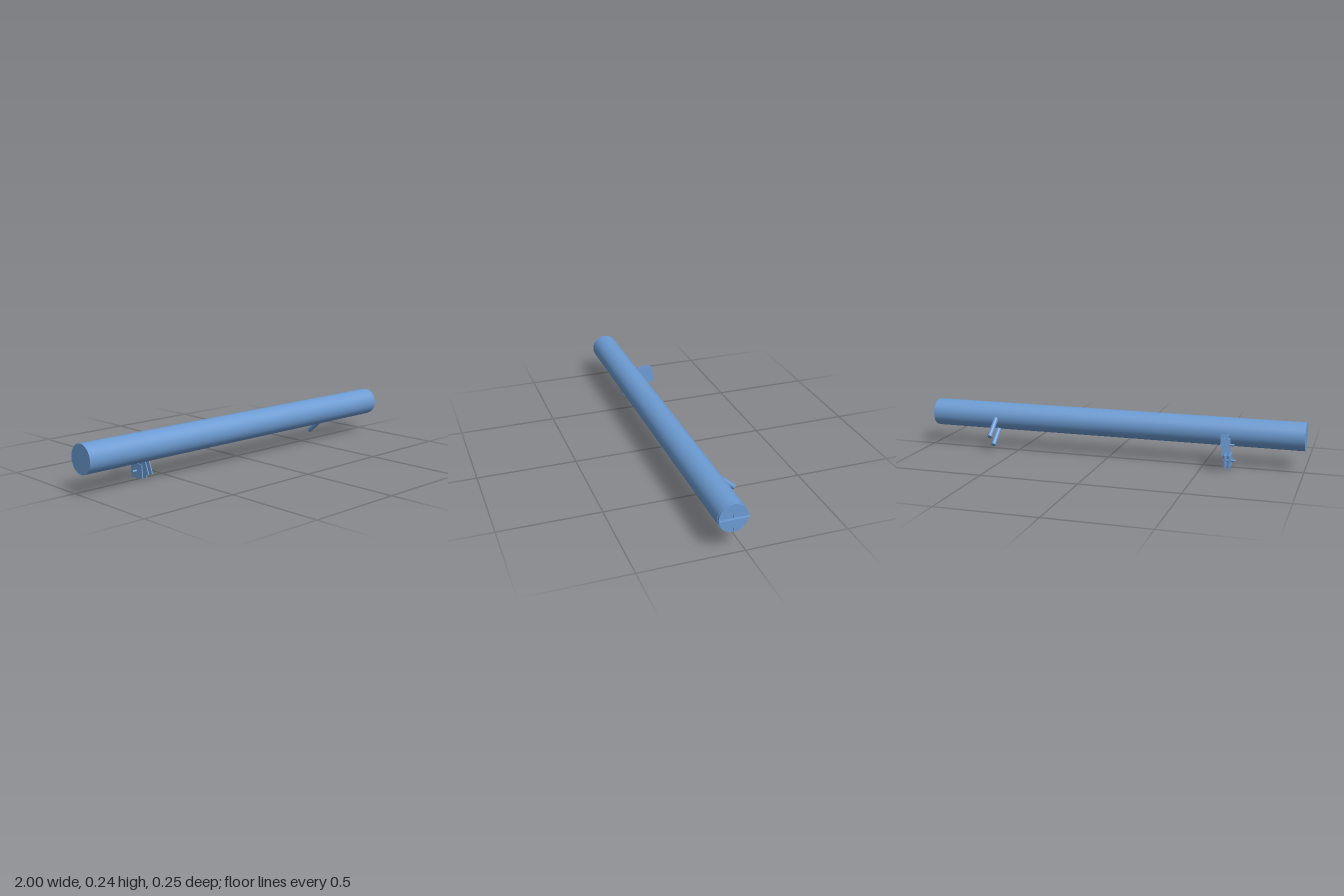
import * as THREE from 'three';

export function createModel() {
  const model = new THREE.Group();
  const blue = new THREE.MeshStandardMaterial({ color: 0x6c9bd2 });
  blue.name = 'steel blue';

  const add = (name, geometry, x, y, z, parent = model) => {
    const mesh = new THREE.Mesh(geometry, blue);
    mesh.name = name;
    mesh.position.set(x, y, z);
    parent.add(mesh);
    return mesh;
  };
  // Cylinder lying along x between two positions
  const rod = (name, radius, x0, x1, y, z, sides = 48, parent = model) => {
    const g = new THREE.CylinderGeometry(radius, radius, x1 - x0, sides).rotateZ(-Math.PI / 2);
    return add(name, g, (x0 + x1) / 2, y, z, parent);
  };

  // Long tube with a slightly smaller end cap
  const cy = 0.17, cz = 0.055, radius = 0.0715;
  rod('tube', radius, -1, 0.975, cy, cz);
  rod('endCap', 0.0695, 0.97, 0.987, cy, cz);

  // Cross of thin blades on the end cap
  add('horizontalBlade', new THREE.BoxGeometry(0.03, 0.003, radius * 2), 0.985, cy, cz);
  add('verticalBlade', new THREE.BoxGeometry(0.013, radius * 2 - 0.004, 0.003), 0.982, cy, cz);
  add('bladeTab', new THREE.BoxGeometry(0.012, 0.006, 0.016), 0.988, cy, 0.1);

  // Two parallel pegs slanting down and back
  const slant = new THREE.Vector3(0, -0.65, -0.76).normalize();
  const pegLength = 0.125;
  for (const [y, z] of [[0.0875, -0.101], [0.0325, -0.055]]) {
    const g = new THREE.CylinderGeometry(0.0127, 0.0127, pegLength, 24);
    const peg = add('peg', g, 0.624, y, z);
    peg.quaternion.setFromUnitVectors(new THREE.Vector3(0, 1, 0), slant);
    peg.position.addScaledVector(slant, -pegLength / 2);
  }

  // Hinged brackets: stacked flat arm and tip plates on a pin.
  // Each plate gives its centre (y, z), length, width and tilt about x.
  const plate = (name, x, [y, z, length, width, tilt], parent) => {
    const g = new THREE.BoxGeometry(0.006, width, length);
    add(name, g, x, y, z, parent).rotation.x = tilt;
  };
  const brackets = [
    { name: 'upperBracket', arm: [0.147, -0.056, 0.098, 0.066, 0.18],
      tip: [0.125, -0.086, 0.069, 0.083, 0.14], pin: [0.137, -0.085] },
    { name: 'lowerBracket', arm: [0.065, 0.011, 0.101, 0.069, 1.21],
      tip: [0.038, -0.014, 0.083, 0.07, -0.045], pin: [0.038, -0.014] },
  ];
  for (const { name, arm, tip, pin } of brackets) {
    const bracket = new THREE.Group();
    bracket.name = name;
    for (const x of [-0.605, -0.627]) plate('armPlate', x, arm, bracket);
    for (const x of [-0.616, -0.639]) plate('tipPlate', x, tip, bracket);
    rod('hingePin', 0.006, -0.667, -0.602, pin[0], pin[1], 16, bracket);
    model.add(bracket);
  }
  return model;
}
